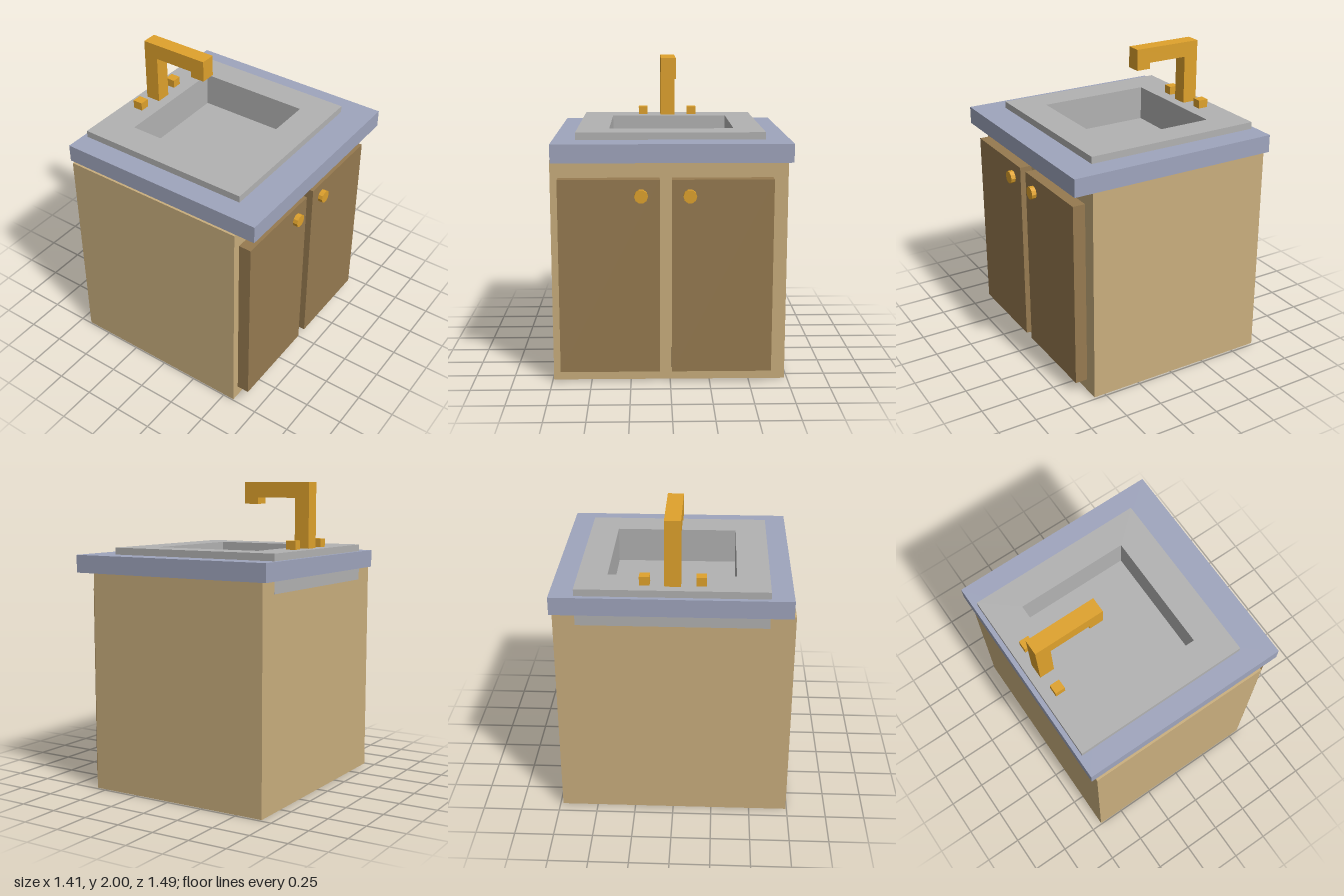
import * as THREE from 'three';

const material = (color) => new THREE.MeshStandardMaterial({ color, flatShading: true });

export function createModel() {
  const group = new THREE.Group();
  const wood = material(0xc9ae7d);
  const darkWood = material(0x967a50);
  const stone = material(0x9fa5bd);
  const steel = material(0xb2b2b2);
  const brass = material(0xdfa22c);

  const add = (name, geometry, mat) => {
    const mesh = new THREE.Mesh(geometry, mat);
    mesh.name = name;
    group.add(mesh);
    return mesh;
  };

  // Box given by its limits on each axis
  const block = (name, [x0, x1], [y0, y1], [z0, z1], mat) => {
    const geometry = new THREE.BoxGeometry(x1 - x0, y1 - y0, z1 - z0);
    geometry.translate((x0 + x1) / 2, (y0 + y1) / 2, (z0 + z1) / 2);
    return add(name, geometry, mat);
  };

  // Upright block with a rectangular opening right through it
  const rectangle = (path, [x0, x1], [z0, z1]) =>
    path.moveTo(x0, z0).lineTo(x1, z0).lineTo(x1, z1).lineTo(x0, z1).closePath();
  const frame = (name, x, [y0, y1], z, holeX, holeZ, mat) => {
    const shape = rectangle(new THREE.Shape(), x, z);
    shape.holes.push(rectangle(new THREE.Path(), holeX, holeZ));
    const geometry = new THREE.ExtrudeGeometry(shape, { depth: y1 - y0, bevelEnabled: false });
    geometry.rotateX(Math.PI / 2).translate(0, y1, 0);
    return add(name, geometry, mat);
  };

  // Cabinet and countertop, cut out for the basin
  const cutX = [-0.47, 0.31], cutZ = [-0.425, 0.4];
  frame('cabinet', [-0.675, 0.575], [0, 1.42], [-0.732, 0.743], cutX, cutZ, wood);
  block('cabinetBottom', cutX, [0, 0.04], cutZ, wood);
  frame('countertop', [-0.705, 0.703], [1.42, 1.535], [-0.747, 0.728], cutX, cutZ, stone);

  // Sink block with a rectangular basin
  const basinX = [-0.455, 0.297], basinZ = [-0.41, 0.383];
  frame('sink', [-0.676, 0.503], [1.34, 1.58], [-0.595, 0.587], basinX, basinZ, steel);
  block('basinFloor', basinX, [1.33, 1.35], basinZ, steel);

  // Doors, each with a round knob near the middle
  const doors = [
    { side: 'left', z: [0.065, 0.693], knobZ: 0.18 },
    { side: 'right', z: [-0.637, -0.01], knobZ: -0.12 },
  ];
  for (const { side, z, knobZ } of doors) {
    block(`${side}Door`, [0.575, 0.657], [0.08, 1.31], z, darkWood);
    const knob = new THREE.CylinderGeometry(0.042, 0.042, 0.031, 10);
    knob.rotateZ(-Math.PI / 2).translate(0.6725, 1.21, knobZ);
    add(`${side}Knob`, knob, brass);
  }

  // Square faucet: post, arm and short downturned spout
  const profile = [
    [-0.617, 1.58], [-0.518, 1.58], [-0.518, 1.9], [-0.245, 1.9],
    [-0.245, 1.86], [-0.148, 1.86], [-0.148, 2], [-0.617, 2],
  ].map(([x, y]) => new THREE.Vector2(x, y));
  const faucet = new THREE.ExtrudeGeometry(new THREE.Shape(profile), { depth: 0.1, bevelEnabled: false });
  faucet.translate(0, 0, -0.053);
  add('faucet', faucet, brass);

  // Tap handles
  for (const z of [-0.174, 0.17]) {
    block('tapHandle', [-0.605, -0.538], [1.58, 1.635], [z - 0.032, z + 0.032], brass);
  }

  return group;
}
